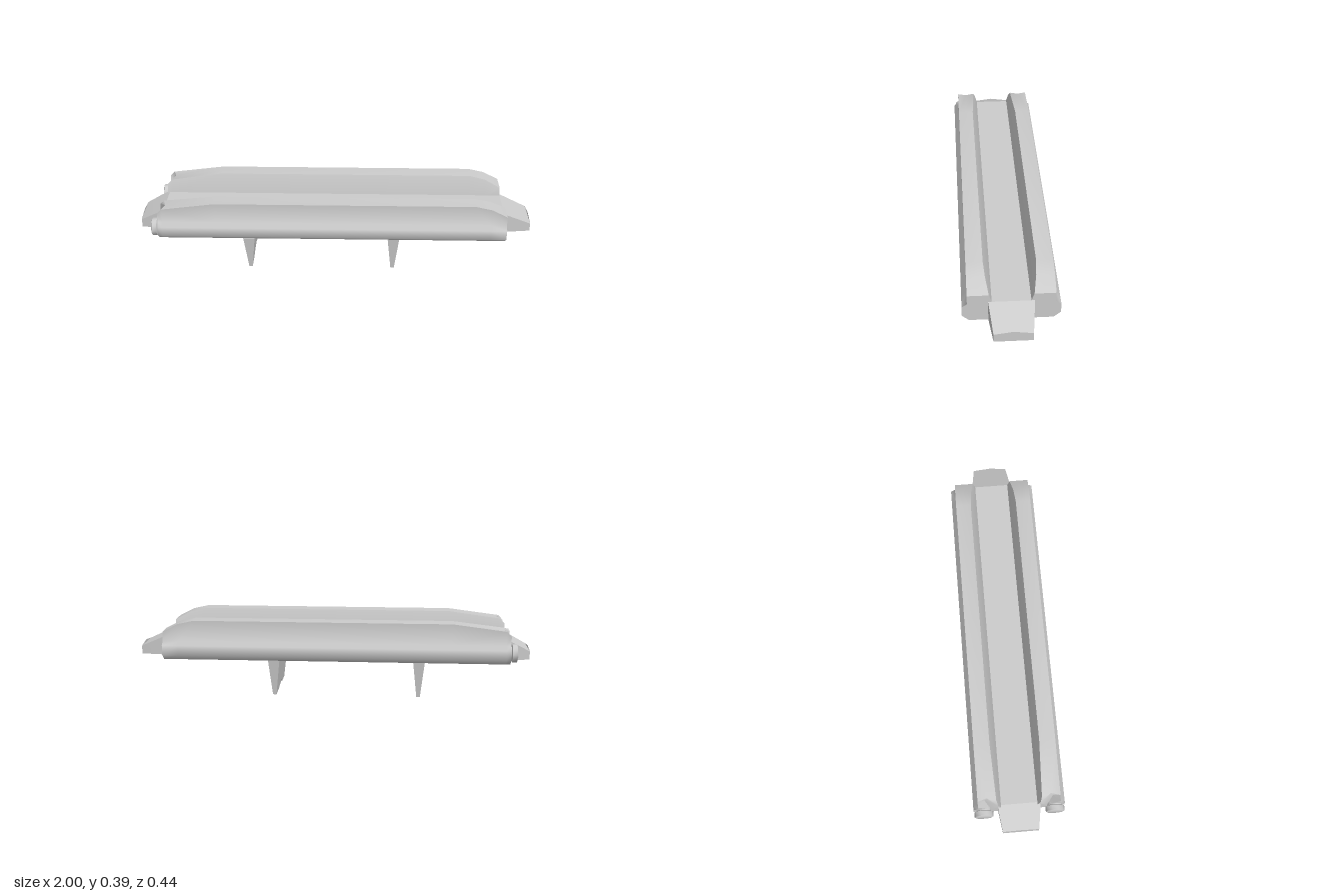
import * as THREE from 'three';
import { toCreasedNormals } from 'three/addons/utils/BufferGeometryUtils.js';

const material = new THREE.MeshStandardMaterial({ color: 0xcccccc });
const BASE = 0.185;

// Skins closed rings of [x, y, z] points that run from -x to +x, and caps both ends.
function loft(rings, flip = false, crease = 0.95) {
  const pos = [];
  const tri = (a, b, c) => pos.push(...a, ...(flip ? c : b), ...(flip ? b : c));
  const n = rings[0].length;
  for (let i = 0; i < rings.length - 1; i++) {
    for (let j = 0; j < n; j++) {
      const k = (j + 1) % n;
      const [a, b, c, d] = [rings[i][j], rings[i][k], rings[i + 1][k], rings[i + 1][j]];
      tri(a, b, c);
      tri(a, c, d);
    }
  }
  const cap = (ring, start) => {
    const [x, , z] = ring[0];
    const centre = [x, 0.24, (z + ring[n - 1][2]) / 2];
    for (let j = 0; j < n; j++) {
      const k = (j + 1) % n;
      if (start) tri(centre, ring[k], ring[j]);
      else tri(centre, ring[j], ring[k]);
    }
  };
  cap(rings[0], true);
  cap(rings[rings.length - 1], false);
  const geometry = new THREE.BufferGeometry();
  geometry.setAttribute('position', new THREE.Float32BufferAttribute(pos, 3));
  return toCreasedNormals(geometry, crease);
}

function part(name, geometry) {
  const mesh = new THREE.Mesh(geometry, material);
  mesh.name = name;
  return mesh;
}

// Side pod: one section whose top height follows the roof line.
function podGeometry(side) {
  const roof = [[-0.89, 0.33], [-0.867, 0.354], [-0.6, 0.388], [0.7, 0.388], [0.78, 0.37], [0.86, 0.329]];
  const rings = roof.map(([x, h], i) => {
    const inner = 0.088 + 0.327 * (h - 0.29);
    const section = [
      [0.082, BASE], [0.088, 0.29], [inner, h], [(inner + 0.198) / 2, h], [0.198, h],
      [0.198, 0.281], [0.222, 0.263], [0.222, 0.213], [0.19, BASE],
    ];
    const ring = section.map(([z, y]) => [x, y, z * side]);
    // Dented tail above the nozzle
    if (i === 0) ring[3] = [-0.855, 0.305, 0.165 * side];
    if (i === 1) ring[3][0] = -0.853;
    return ring;
  });
  return loft(rings, side < 0);
}

// Nozzle with a narrow neck and a wider rim, pointing to -x.
function nozzleGeometry() {
  const profile = [[0, -0.02], [0.038, -0.02], [0.036, 0.006], [0.046, 0.01], [0.046, 0.034], [0.04, 0.037], [0, 0.037]];
  const geometry = new THREE.LatheGeometry(profile.map(([r, y]) => new THREE.Vector2(r, y)), 10);
  geometry.rotateZ(Math.PI / 2);
  return toCreasedNormals(geometry, 0.7);
}

// Half of a tapering strut: a plate in z-y with a notch cut in its foot.
function strutHalf(notch, side) {
  const outline = [[-0.19, BASE], [-0.168, 0], ...notch, [0.17, 0], [0.192, BASE]];
  const shape = new THREE.Shape(outline.map(([z, y]) => new THREE.Vector2(-z, y)));
  const geometry = new THREE.ExtrudeGeometry(shape, { depth: 1, bevelEnabled: false });
  geometry.rotateY(Math.PI / 2);
  if (side < 0) geometry.translate(-1, 0, 0);
  const p = geometry.attributes.position;
  for (let i = 0; i < p.count; i++) {
    p.setX(i, p.getX(i) * (0.009 + 0.02 * p.getY(i) / BASE));
  }
  geometry.computeVertexNormals();
  return geometry;
}

export function createModel() {
  const model = new THREE.Group();
  model.name = 'hull';

  // Central deck with tapered, sloping ends
  const stations = [
    [-1, 0.228, 0.088], [-0.93, 0.266, 0.098], [-0.88, 0.29, 0.104],
    [0.86, 0.29, 0.104], [1, 0.227, 0.088],
  ];
  model.add(part('centralDeck', loft(stations.map(([x, h, w]) => [
    [x, BASE, -w], [x, h, -w], [x, h, w], [x, BASE, w],
  ]), false, 0.3)));

  // Pods and nozzles on both sides
  for (const side of [1, -1]) {
    const label = side > 0 ? 'front' : 'back';
    model.add(part(label + 'Pod', podGeometry(side)));
    const nozzle = part(label + 'Nozzle', nozzleGeometry());
    nozzle.position.set(-0.888, 0.24, side * 0.173);
    model.add(nozzle);
  }

  // Two support struts, each with a stepped foot notch
  const square = [[-0.08, 0], [-0.08, 0.028], [0.042, 0.028], [0.08, 0]];
  const sloped = [[-0.08, 0], [0.05, 0.022], [0.08, 0]];
  [[-0.437, 'right'], [0.297, 'left']].forEach(([x, label]) => {
    const strut = new THREE.Group();
    strut.name = label + 'Strut';
    strut.add(part('outerHalf', strutHalf(square, 1)), part('innerHalf', strutHalf(sloped, -1)));
    strut.position.x = x;
    model.add(strut);
  });

  return model;
}
